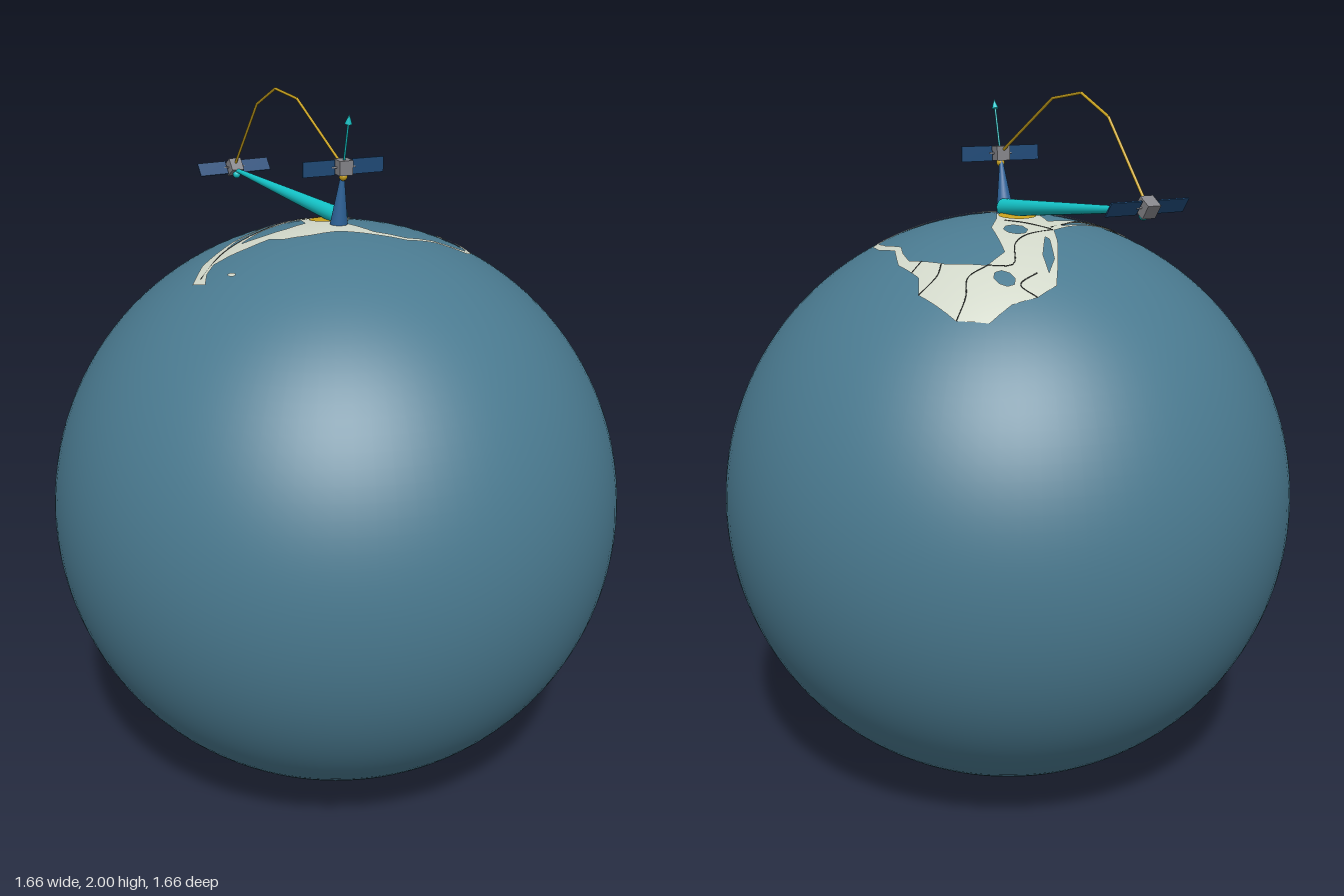
import * as THREE from 'three';

const mat = (name, color, side = THREE.FrontSide) => {
  const m = new THREE.MeshStandardMaterial({ color, side });
  m.name = name;
  return m;
};
const R = 0.83;
const CENTER = new THREE.Vector3(0, R, 0);
const v = (x, y, z) => new THREE.Vector3(x, y, z);

// point on the top of the globe above (x, z), lifted a little
const onGlobe = (x, z, lift) => v(x, R + Math.sqrt((R + lift) ** 2 - x * x - z * z), z);

// drape a flat outline (x, z pairs) with holes over the globe
function drape(outline, holes, lift) {
  const pts = a => a.map(([x, z]) => new THREE.Vector2(x, -z));
  const shape = new THREE.Shape(pts(outline));
  shape.holes = holes.map(h => new THREE.Path(pts(h)));
  const flat = new THREE.ShapeGeometry(shape).toNonIndexed().attributes.position;
  const out = [], normals = [];
  // halve the longest edge until every triangle is small enough to follow the curve
  const split = (a, b, c) => {
    const ab = a.distanceTo(b), bc = b.distanceTo(c), ca = c.distanceTo(a);
    const longest = Math.max(ab, bc, ca);
    if (longest > 0.045) {
      const [p, q, r] = longest === ab ? [a, b, c] : longest === bc ? [b, c, a] : [c, a, b];
      const m = p.clone().lerp(q, 0.5);
      split(p, m, r);
      split(m, q, r);
      return;
    }
    for (const p of [a, b, c]) {
      const q = onGlobe(p.x, -p.y, lift);
      out.push(q.x, q.y, q.z);
      normals.push(...q.sub(CENTER).normalize().toArray());
    }
  };
  for (let i = 0; i < flat.count; i += 3) {
    split(...[0, 1, 2].map(k => new THREE.Vector3().fromBufferAttribute(flat, i + k)));
  }
  const g = new THREE.BufferGeometry();
  g.setAttribute('position', new THREE.Float32BufferAttribute(out, 3));
  g.setAttribute('normal', new THREE.Float32BufferAttribute(normals, 3));
  return g;
}

const ellipse = (x, z, rx, rz, n = 8) => Array.from({ length: n }, (_, i) => {
  const t = (i / n) * Math.PI * 2;
  return [x + rx * Math.cos(t), z + rz * Math.sin(t)];
});

const COAST = [
  [-.24, -.5], [-.1, -.485], [-.06, -.44], [.04, -.41], [.07, -.385], [.115, -.345], [.195, -.325],
  [.27, -.275], [.28, -.235], [.23, -.155], [.205, -.06], [.14, 0], [.06, .06], [.02, .13], [-.03, .18],
  [-.075, .19], [-.1, .245], [-.13, .29], [-.15, .33], [-.135, .37], [-.1, .41], [-.15, .41], [-.195, .33],
  [-.21, .2], [-.205, .07], [-.21, -.06], [-.26, -.11], [-.33, -.2], [-.375, -.265], [-.365, -.33],
  [-.33, -.39], [-.315, -.46],
];
const OPENINGS = [
  [[-.2, -.33], [-.1, -.375], [.02, -.39], [.07, -.36], [.11, -.325], [.185, -.305], [.255, -.265],
    [.255, -.23], [.215, -.16], [.19, -.075], [.12, -.02], [.02, -.02], [0, -.05], [-.04, -.1],
    [-.08, -.17], [-.14, -.215], [-.2, -.26]],
  [[-.335, -.245], [-.28, -.2], [-.225, -.12], [-.24, -.12], [-.31, -.19]],
  [[-.15, -.01], [-.08, .04], [-.09, .11], [-.12, .17], [-.155, .22], [-.165, .12]],
  [[-.195, 0], [-.185, 0], [-.182, .25], [-.195, .2]],
  ellipse(-.265, -.34, .032, .022),
  ellipse(-.16, -.44, .03, .018),
  ellipse(-.14, -.14, .035, .03),
];
const BORDERS = [
  [[-.24, -.5], [-.22, -.44], [-.185, -.39], [-.2, -.33]],
  [[-.365, -.33], [-.31, -.33], [-.315, -.27]],
  [[-.2, -.33], [-.25, -.29], [-.195, -.21], [-.185, -.15], [-.205, -.06]],
  [[-.1, -.485], [-.105, -.42], [-.085, -.38]],
  [[-.025, -.43], [-.02, -.385]],
  [[-.2, -.06], [-.13, -.08], [-.07, -.1]],
  [[-.19, -.05], [-.175, .1], [-.175, .27], [-.14, .39]],
];

export function createModel() {
  const ocean = mat('ocean blue', 0x4a7a90);
  const land = mat('pale land', 0xd0d6c8, THREE.DoubleSide);
  const border = mat('border dark', 0x3c403c);
  const cyan = mat('beam cyan', 0x14c4c8);
  const blue = mat('beam blue', 0x2f659c);
  const gold = mat('link gold', 0xc9a21e);
  const panelBlue = mat('panel navy', 0x1f4a78);
  const grey = mat('body grey', 0x85858a);

  const model = new THREE.Group();
  const add = (name, geometry, material, parent = model) => {
    const mesh = new THREE.Mesh(geometry, material);
    mesh.name = name;
    parent.add(mesh);
    return mesh;
  };
  // tapered round bar from a to b
  const bar = (name, a, b, ra, rb, material, sides = 24) => {
    const mesh = add(name, new THREE.CylinderGeometry(rb, ra, a.distanceTo(b), sides), material);
    mesh.position.copy(a).lerp(b, 0.5);
    mesh.quaternion.setFromUnitVectors(v(0, 1, 0), b.clone().sub(a).normalize());
  };

  // globe and land
  add('globe', new THREE.SphereGeometry(R, 96, 64), ocean).position.copy(CENTER);
  add('continent', drape(COAST, OPENINGS, 0.003), land);
  add('island', drape(ellipse(-.045, .365, .015, .007), [], 0.003), land);
  for (const line of BORDERS) {
    const path = new THREE.CatmullRomCurve3(line.map(([x, z]) => onGlobe(x, z, 0.003)));
    add('landBorder', new THREE.TubeGeometry(path, 20, 0.0018, 4), border);
  }
  add('groundSpot', drape(ellipse(-.06, -.033, .052, .055, 24), [], 0.006), gold);

  // satellites: body, a pair of panels on a boom, and a horn facing the globe
  const satellite = (name, position, along, hornMaterial) => {
    const sat = new THREE.Group();
    sat.name = name;
    const up = position.clone().sub(CENTER).normalize();
    const long = along.clone().addScaledVector(up, -along.dot(up)).normalize();
    sat.quaternion.setFromRotationMatrix(
      new THREE.Matrix4().makeBasis(long, up, long.clone().cross(up)));
    sat.position.copy(position);
    add('body', new THREE.BoxGeometry(0.04, 0.04, 0.04), grey, sat);
    add('boom', new THREE.CylinderGeometry(0.003, 0.003, 0.07, 8).rotateZ(Math.PI / 2), grey, sat);
    for (const s of [-1, 1]) {
      add('solarPanel', new THREE.BoxGeometry(0.095, 0.042, 0.004), panelBlue, sat).position.x = s * 0.074;
    }
    add('horn', new THREE.SphereGeometry(0.012, 16, 12), hornMaterial, sat).position.y = -0.026;
    model.add(sat);
  };
  const farSat = v(-.59, 1.73, -.185), nearSat = v(.04, 1.825, .015);
  satellite('farSatellite', farSat, v(.3, 0, -.95), cyan);
  satellite('nearSatellite', nearSat, v(.39, 0, -.92), gold);

  // beams to the ground
  bar('farBeam', v(0, 1.678, -.018), v(-.58, 1.722, -.182), 0.025, 0.006, cyan);
  bar('nearBeam', v(.01, 1.655, 0), v(.035, 1.81, .012), 0.026, 0.004, blue);

  // velocity arrow
  const tip = v(.083, 1.972, .04), neck = nearSat.clone().lerp(tip, 0.82);
  bar('arrowShaft', nearSat, neck, 0.003, 0.003, cyan, 8);
  bar('arrowHead', neck, tip, 0.01, 0, cyan, 16);

  // bent link between the satellites
  const link = [farSat, v(-.43, 1.94, -.13), v(-.32, 1.996, -.096), v(-.2, 1.98, -.06), nearSat];
  for (let i = 0; i < link.length - 1; i++) {
    bar('linkSegment', link[i], link[i + 1], 0.004, 0.004, gold, 8);
  }
  return model;
}
